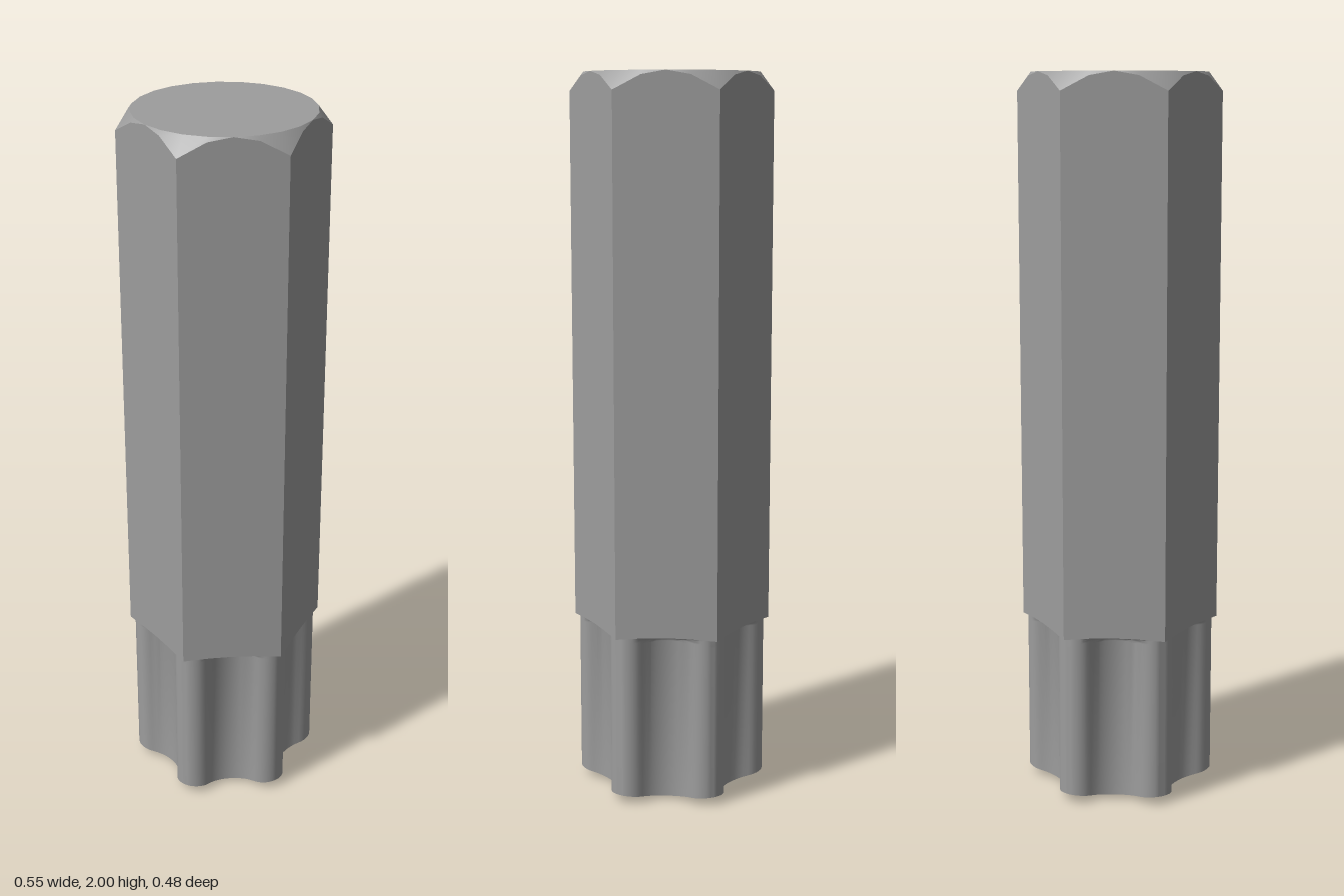
import * as THREE from 'three';
import { toCreasedNormals } from 'three/addons/utils/BufferGeometryUtils.js';

const material = new THREE.MeshStandardMaterial({ color: 0x9d9d9d });

// Skins a list of closed rings (each an array of Vector3, counter-clockwise from above).
function loft(rings, name) {
  const pos = [];
  const tri = new THREE.Triangle();
  const add = (a, b, c) => {
    if (tri.set(a, b, c).getArea() > 1e-9) for (const p of [a, b, c]) pos.push(p.x, p.y, p.z);
  };
  for (let i = 0; i < rings.length - 1; i++) {
    const lo = rings[i], hi = rings[i + 1], n = lo.length;
    for (let j = 0; j < n; j++) {
      const k = (j + 1) % n;
      add(lo[j], lo[k], hi[k]);
      add(lo[j], hi[k], hi[j]);
    }
  }
  const geometry = new THREE.BufferGeometry();
  geometry.setAttribute('position', new THREE.Float32BufferAttribute(pos, 3));
  const mesh = new THREE.Mesh(toCreasedNormals(geometry, 0.5), material);
  mesh.name = name;
  return mesh;
}

const polar = (r, a, y) => new THREE.Vector3(r * Math.cos(a), y, -r * Math.sin(a));

// Hexagon radius by angle, and the shoulder height, slightly raised mid-flat
const apothem = 0.24, sector = Math.PI / 3;
const hexRadius = a => apothem / Math.cos(((a + Math.PI * 2) % sector) - sector / 2);
const shoulder = a => 0.48 + (0.277 - hexRadius(a)) * 0.2;

// Hexagonal shank with a conical chamfer cutting the top corners
function shank() {
  const top = 2, steps = 24;
  const angles = Array.from({ length: steps }, (_, i) => (i / steps) * Math.PI * 2);
  const ring = (radius, height) => angles.map(a => polar(radius(a), a, height(a)));
  return loft([
    ring(() => 0, () => shoulder(sector / 2)),
    ring(hexRadius, shoulder),
    ring(hexRadius, a => top - (hexRadius(a) - apothem) * 1.35),
    ring(() => apothem, () => top),
    ring(() => 0, () => top),
  ], 'hexShank');
}

// Six-lobed outline as radius and angle: round lobes joined tangentially by round valleys
function lobeOutline() {
  const outer = 0.263, inner = 0.19, r = 0.052, c = outer - r, cos30 = Math.cos(Math.PI / 6);
  const R = (c * c + inner * inner - 2 * c * inner * cos30 - r * r) / (2 * (r - inner + c * cos30));
  const d = inner + R;
  const tangent = Math.atan2(d / 2, d * cos30 - c);
  const sweep = tangent - Math.PI / 6;
  const points = [];
  const arc = (distance, direction, radius, t) => {
    const x = distance * Math.cos(direction) + radius * Math.cos(t);
    const y = distance * Math.sin(direction) + radius * Math.sin(t);
    points.push({ r: Math.hypot(x, y), a: Math.atan2(y, x) });
  };
  for (let k = 0; k < 6; k++) {
    const a = k * sector, v = a + sector / 2;
    for (let i = 0; i < 14; i++) arc(c, a, r, a + tangent * ((2 * i) / 14 - 1));
    for (let i = 0; i < 10; i++) arc(d, v, R, v + Math.PI + sweep * (1 - (2 * i) / 10));
  }
  return points;
}

// Lobed drive tip with a blind centre hole, a coned end and valleys flaring out under the shank
function driveTip() {
  const hole = 0.137, depth = 0.4, flareHeight = 0.022;
  const outline = lobeOutline();
  const circle = (r, y) => outline.map(p => polar(r, p.a, y));
  const rings = [
    circle(0, depth),
    circle(hole, depth),
    circle(hole, 0),
    outline.map(p => polar(p.r, p.a, (p.r - hole) * 0.2)),
  ];
  for (let i = 0; i <= 6; i++) {
    const t = (i / 6) * Math.PI / 2;
    rings.push(outline.map(({ r, a }) => {
      const target = Math.min(hexRadius(a), Math.max(r, 0.25));
      return polar(r + (target - r) * (1 - Math.cos(t)), a,
        shoulder(a) - flareHeight * (1 - Math.sin(t)));
    }));
  }
  return loft(rings, 'lobedDriveTip');
}

export function createModel() {
  const group = new THREE.Group();
  group.name = 'driverBit';
  group.add(shank(), driveTip());
  return group;
}
